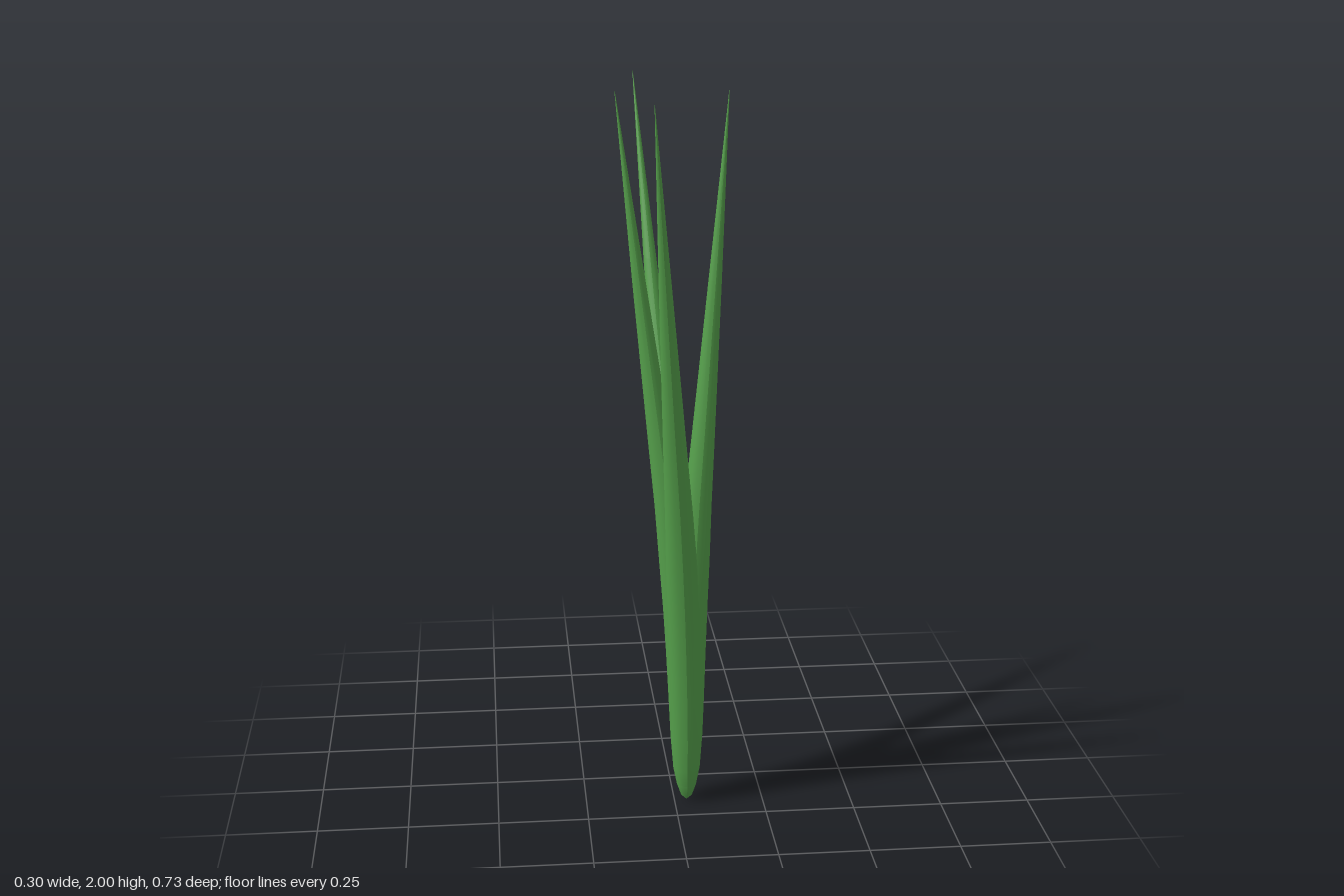
import * as THREE from 'three';

// rows up a blade: [height, radius, share of the lean reached]
const ROWS = [
  [0, 0.001, 0], [0.015, 0.016, 0], [0.05, 0.028, 0], [0.1, 0.037, 0.005], [0.2, 0.043, 0.015],
  [0.32, 0.045, 0.035], [0.45, 0.045, 0.07], [0.58, 0.0445, 0.115], [0.72, 0.043, 0.18],
  [0.88, 0.038, 0.27], [1.05, 0.0325, 0.385], [1.5, 0.018, 0.68], [2, 0.0005, 1],
];
const BASE = { x: 0.035, z: 0.15 };
const SIDES = 16;

// Lathe profile whose rings are slid sideways toward the tip
function blade(tipX, tipZ, material) {
  const geo = new THREE.LatheGeometry(ROWS.map(([y, r]) => new THREE.Vector2(r, y)), SIDES);
  const pos = geo.attributes.position;
  for (let i = 0; i < pos.count; i++) {
    const lean = ROWS[i % ROWS.length][2];
    pos.setX(i, pos.getX(i) + BASE.x + (tipX - BASE.x) * lean);
    pos.setZ(i, pos.getZ(i) + BASE.z + (tipZ - BASE.z) * lean);
  }
  geo.computeVertexNormals();
  return new THREE.Mesh(geo, material);
}

export function createModel() {
  const group = new THREE.Group();
  group.name = 'grassTuft';
  const green = new THREE.MeshStandardMaterial({ color: 0x55a04b });

  // four blades fanning out from one foot
  const tips = {
    backBlade: [-0.07, -0.363],
    frontBlade: [-0.07, 0.363],
    rightBlade: [-0.15, 0.077],
    leftBlade: [0.15, 0.077],
  };
  for (const [name, [x, z]] of Object.entries(tips)) {
    const mesh = blade(x, z, green);
    mesh.name = name;
    group.add(mesh);
  }
  return group;
}
